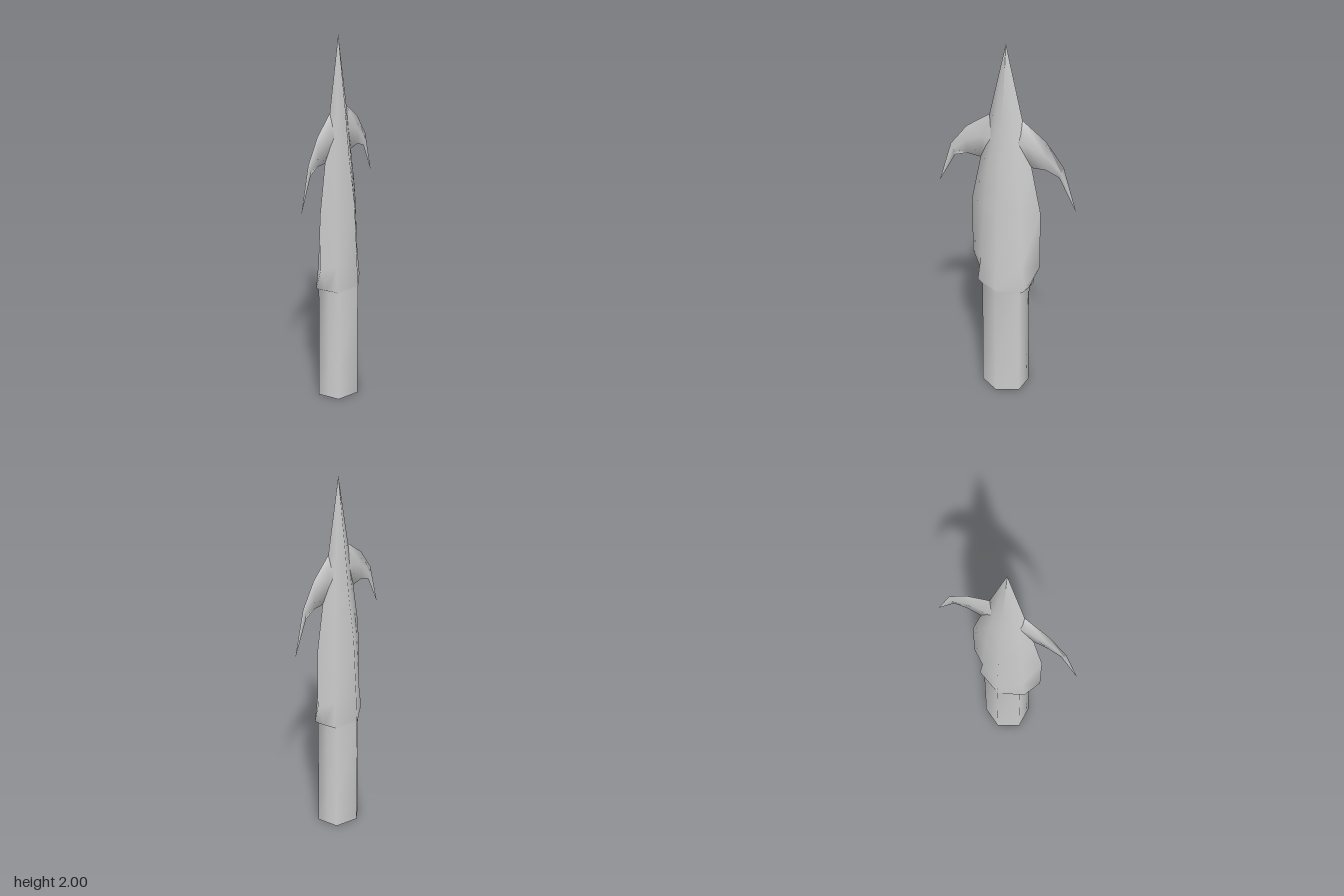
import * as THREE from 'three';

const material = new THREE.MeshStandardMaterial({ color: 0xcccccc });

// Skin a list of equal-length rings of [x, y, z] points with smooth normals.
function loft(rings, name) {
  const n = rings[0].length;
  const index = [];
  for (let i = 0; i < rings.length - 1; i++) {
    for (let j = 0; j < n; j++) {
      const a = i * n + j, b = i * n + (j + 1) % n;
      index.push(a, a + n, b, b, a + n, b + n);
    }
  }
  const geometry = new THREE.BufferGeometry();
  geometry.setAttribute('position', new THREE.Float32BufferAttribute(rings.flat(2), 3));
  geometry.setIndex(index);
  geometry.computeVertexNormals();
  const mesh = new THREE.Mesh(geometry, material);
  mesh.name = name;
  return mesh;
}

// Eight-cornered section: ridge at x = ridge, shoulder at (sx, sz), edge at z = edge.
function section([y, ridge, sx, sz, edge]) {
  return [
    [ridge, y, 0], [sx, y, sz], [0, y, edge], [-sx, y, sz],
    [-ridge, y, 0], [-sx, y, -sz], [0, y, -edge], [sx, y, -sz],
  ];
}

export function createModel() {
  const group = new THREE.Group();
  group.name = 'spearhead';

  // Socket and leaf-shaped blade: y, ridge, shoulder x, shoulder z, edge
  const profile = [
    [0, 0.122, 0.062, 0.117, 0.117],
    [0.18, 0.12, 0.06, 0.115, 0.115],
    [0.64, 0.119, 0.06, 0.114, 0.114],
    [0.66, 0.118, 0.06, 0.143, 0.145],
    [0.8, 0.113, 0.055, 0.125, 0.205],
    [1.12, 0.096, 0.045, 0.11, 0.205],
    [1.37, 0.064, 0.03, 0.085, 0.15],
    [1.62, 0.041, 0.018, 0.05, 0.095],
    [2, 0.0005, 0.0003, 0.0005, 0.0005],
  ];
  const rings = profile.map(section);
  group.add(loft(rings, 'blade'));

  // Flat end of the socket
  const outline = new THREE.Shape(rings[0].map(([x, , z]) => new THREE.Vector2(x, z)));
  const base = new THREE.Mesh(new THREE.ShapeGeometry(outline).rotateX(Math.PI / 2), material);
  base.name = 'socketEnd';
  group.add(base);

  // Thin hooked barbs: top z, top y, bottom z, bottom y, half thickness
  const hook = [
    [0.04, 1.62, 0.08, 1.37, 0.02],
    [0.095, 1.62, 0.15, 1.37, 0.016],
    [0.23, 1.53, 0.23, 1.375, 0.006],
    [0.33, 1.41, 0.305, 1.35, 0.004],
    [0.405, 1.18, 0.404, 1.18, 0.0005],
  ];
  const barbRings = hook.map(([tz, ty, bz, by, t]) => {
    const my = (ty + by) / 2, mz = (tz + bz) / 2;
    return [[0, ty, tz], [t, my, mz], [0, by, bz], [-t, my, mz]];
  });
  ['frontBarb', 'backBarb'].forEach((name, i) => {
    const barb = loft(barbRings, name);
    barb.rotation.y = i * Math.PI;
    group.add(barb);
  });

  return group;
}
